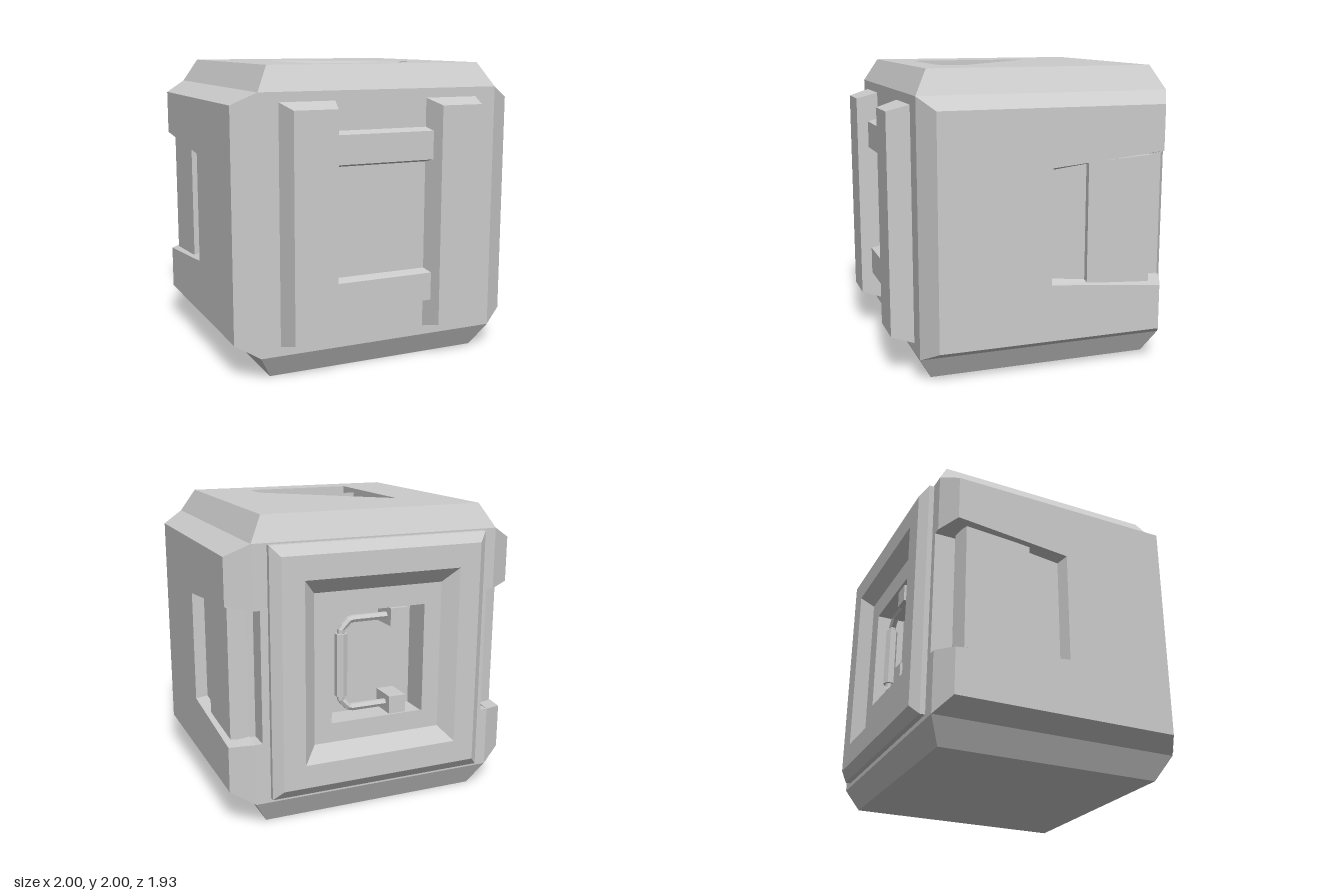
import * as THREE from 'three';

const grey = (side = THREE.FrontSide) =>
  new THREE.MeshStandardMaterial({ color: 0xcccccc, flatShading: true, side });

function add(parent, name, geometry, side) {
  const mesh = new THREE.Mesh(geometry, grey(side));
  mesh.name = name;
  parent.add(mesh);
  return mesh;
}

// Flat polygons, each a list of corners, fanned into triangles
function polygons(faces, flip = false) {
  const pos = [];
  for (const f of faces)
    for (let i = 1; i < f.length - 1; i++) {
      const tri = flip ? [f[0], f[i + 1], f[i]] : [f[0], f[i], f[i + 1]];
      tri.forEach((p) => pos.push(...p));
    }
  const g = new THREE.BufferGeometry();
  g.setAttribute('position', new THREE.Float32BufferAttribute(pos, 3));
  g.computeVertexNormals();
  return g;
}

// Solid between two four-cornered outlines; the outward direction is found from its axis
function loft(a, b, cap = true) {
  const v = (p) => new THREE.Vector3(...p);
  const n = v(a[1]).sub(v(a[0])).cross(v(a[2]).sub(v(a[0])));
  const flip = n.dot(v(b[0]).sub(v(a[0]))) < 0;
  const faces = a.map((p, i) => [p, a[(i + 1) % 4], b[(i + 1) % 4], b[i]]);
  faces.push([...a].reverse());
  if (cap) faces.push(b);
  return polygons(faces, flip);
}

const rectXY = (x0, x1, y0, y1, z) => [[x0, y0, z], [x1, y0, z], [x1, y1, z], [x0, y1, z]];
const rectXZ = (x0, x1, z0, z1, y) => [[x0, y, z0], [x1, y, z0], [x1, y, z1], [x0, y, z1]];
const onX = (x, yz) => yz.map(([y, z]) => [x, y, z]);

function box(parent, name, x0, x1, y0, y1, z0, z1) {
  const g = new THREE.BoxGeometry(Math.abs(x1 - x0), y1 - y0, z1 - z0);
  g.translate((x0 + x1) / 2, (y0 + y1) / 2, (z0 + z1) / 2);
  return add(parent, name, g);
}

function rectShape(x0, x1, y0, y1) {
  return new THREE.Shape([[x0, y0], [x1, y0], [x1, y1], [x0, y1]].map((p) => new THREE.Vector2(...p)));
}

// Core block with a square pocket in the back
function buildCore(root) {
  box(root, 'core', -0.8, 0.8, 0.16, 1.84, -0.68, 0.82);
  const back = rectShape(-0.8, 0.8, 0.16, 1.84);
  back.holes.push(rectShape(-0.33, 0.33, 0.63, 1.37));
  const g = new THREE.ExtrudeGeometry(back, { depth: 0.2, bevelEnabled: false });
  add(root, 'backWall', g.translate(0, 0, -0.88));
}

// Side plate with a notch open to the back
function buildSide(root, s) {
  const side = new THREE.Group();
  side.name = s > 0 ? 'leftSide' : 'rightSide';
  root.add(side);
  box(side, 'sideBase', s * 0.79, s * 0.85, 0.16, 1.84, -0.74, 0.82);
  const plate = (name, inner, outer) =>
    add(side, name, loft(onX(s * 0.85, inner), onX(s, outer)));
  plate('frontPlate',
    [[1.84, 0.82], [1.84, -0.08], [0.16, -0.08], [0.16, 0.82]],
    [[1.76, 0.73], [1.76, -0.02], [0.24, -0.02], [0.24, 0.73]]);
  for (const m of [1, -1]) {
    const y = (list) => list.map(([h, z]) => [1 + m * h, z]);
    plate(m > 0 ? 'upperPlate' : 'lowerPlate',
      y([[0.84, -0.02], [0.84, -0.88], [0.43, -0.88], [0.33, -0.02]]),
      y([[0.76, -0.02], [0.76, -0.8], [0.455, -0.8], [0.38, -0.02]]));
    const [y0, y1] = m > 0 ? [1.43, 1.84] : [0.16, 0.57];
    box(side, 'rearCorner', s * 0.79, s * 0.85, y0, y1, -0.88, -0.74);
  }
  // Notch floor and the raised panel on it
  box(side, 'notchFloor', s * 0.85, s * 0.925, 0.56, 1.44, -0.74, -0.02);
  add(side, 'notchPanel', loft(
    onX(s * 0.85, [[1.4, -0.28], [1.43, -0.76], [0.57, -0.76], [0.6, -0.28]]),
    onX(s * 0.965, [[1.4, -0.28], [1.43, -0.73], [0.57, -0.73], [0.6, -0.28]])));
}

// Bottom plate, and top plate with a sunken slot and ramp
function buildCaps(root) {
  const wide = (y) => rectXZ(-0.85, 0.85, -0.88, 0.82, y);
  const narrow = (y) => rectXZ(-0.76, 0.76, -0.8, 0.73, y);
  add(root, 'bottomPlate', loft(wide(0.16), narrow(0)));
  add(root, 'topPlate', loft(wide(1.84), narrow(2), false));

  const rim = [[-0.38, 0.54], [0.38, 0.54], [0.38, 0.35], [-0.38, -0.35]];
  const top = rectShape(-0.76, 0.76, -0.73, 0.8);
  top.holes.push(new THREE.Path(rim.map(([x, z]) => new THREE.Vector2(x, -z))));
  add(root, 'topFace', new THREE.ShapeGeometry(top).rotateX(-Math.PI / 2).translate(0, 2, 0));

  const [A, B, C, D] = rim.map(([x, z]) => [x, 2, z]);
  const a = [-0.38, 1.92, 0.54], b = [0.38, 1.92, 0.54], c = [0.38, 1.97, 0.35];
  const e = [-0.38, 1.97, 0.35], f = [-0.38, 1.9, 0.35], g = [-0.15, 1.9, 0.35];
  add(root, 'topRecess', polygons([
    [A, a, b, B], [B, b, c, C], [A, D, f, e, a], // walls
    [a, b, c, e], [e, c, g, f],                  // slot floor and its step
    [D, C, g], [C, c, g], [D, g, f],             // ramp and pit floor
  ]), THREE.DoubleSide);
}

// Front rails and cross bars
function buildFront(root) {
  const block = (name, x0, x1, y0, y1, z, ix, iy) => add(root, name, loft(
    rectXY(x0, x1, y0, y1, 0.81), rectXY(x0 + ix, x1 - ix, y0 + iy, y1 - iy, z)));
  block('rail', 0.315, 0.7, 0.22, 1.78, 0.965, 0.045, 0.045);
  block('rail', -0.72, -0.335, 0.22, 1.78, 0.965, 0.045, 0.045);
  block('upperCrossBar', -0.36, 0.34, 1.355, 1.59, 0.89, 0, 0.023);
  block('lowerCrossBar', -0.36, 0.34, 0.4, 0.635, 0.89, 0, 0.023);
}

// Bevelled frame on the back, built as nested rectangular rings
function buildBackFrame(root) {
  const rings = [
    [0.75, 0.82, -0.87], [0.75, 0.82, -0.915], [0.69, 0.755, -0.965],
    [0.54, 0.6, -0.965], [0.45, 0.5, -0.885], [0.33, 0.37, -0.885],
  ].map(([w, h, z]) => rectXY(-w, w, 1.01 - h, 1.01 + h, z));
  const faces = [];
  for (let r = 0; r < rings.length - 1; r++)
    for (let i = 0; i < 4; i++) {
      const j = (i + 1) % 4;
      faces.push([rings[r][i], rings[r + 1][i], rings[r + 1][j], rings[r][j]]);
    }
  add(root, 'backFrame', polygons(faces), THREE.DoubleSide);
}

// Handle in the back pocket
function buildHandle(root) {
  const handle = new THREE.Group();
  handle.name = 'handle';
  root.add(handle);
  const path = new THREE.CurvePath();
  const pts = [[-0.14, 1.3], [0.17, 1.3], [0.23, 1.24], [0.23, 0.76], [0.17, 0.7], [-0.14, 0.7]]
    .map(([x, y]) => new THREE.Vector3(x, y, -0.8));
  for (let i = 0; i < pts.length - 1; i++) path.add(new THREE.LineCurve3(pts[i], pts[i + 1]));
  add(handle, 'handleBar', new THREE.TubeGeometry(path, 48, 0.025, 6));
  add(handle, 'grip', new THREE.CylinderGeometry(0.042, 0.042, 0.42, 6).translate(0.23, 1, -0.8));
  for (const y of [0.7, 1.3])
    box(handle, 'handleMount', -0.21, -0.09, y - 0.06, y + 0.06, -0.87, -0.67);
}

export function createModel() {
  const root = new THREE.Group();
  root.name = 'crate';
  buildCore(root);
  buildSide(root, 1);
  buildSide(root, -1);
  buildCaps(root);
  buildFront(root);
  buildBackFrame(root);
  buildHandle(root);
  return root;
}
